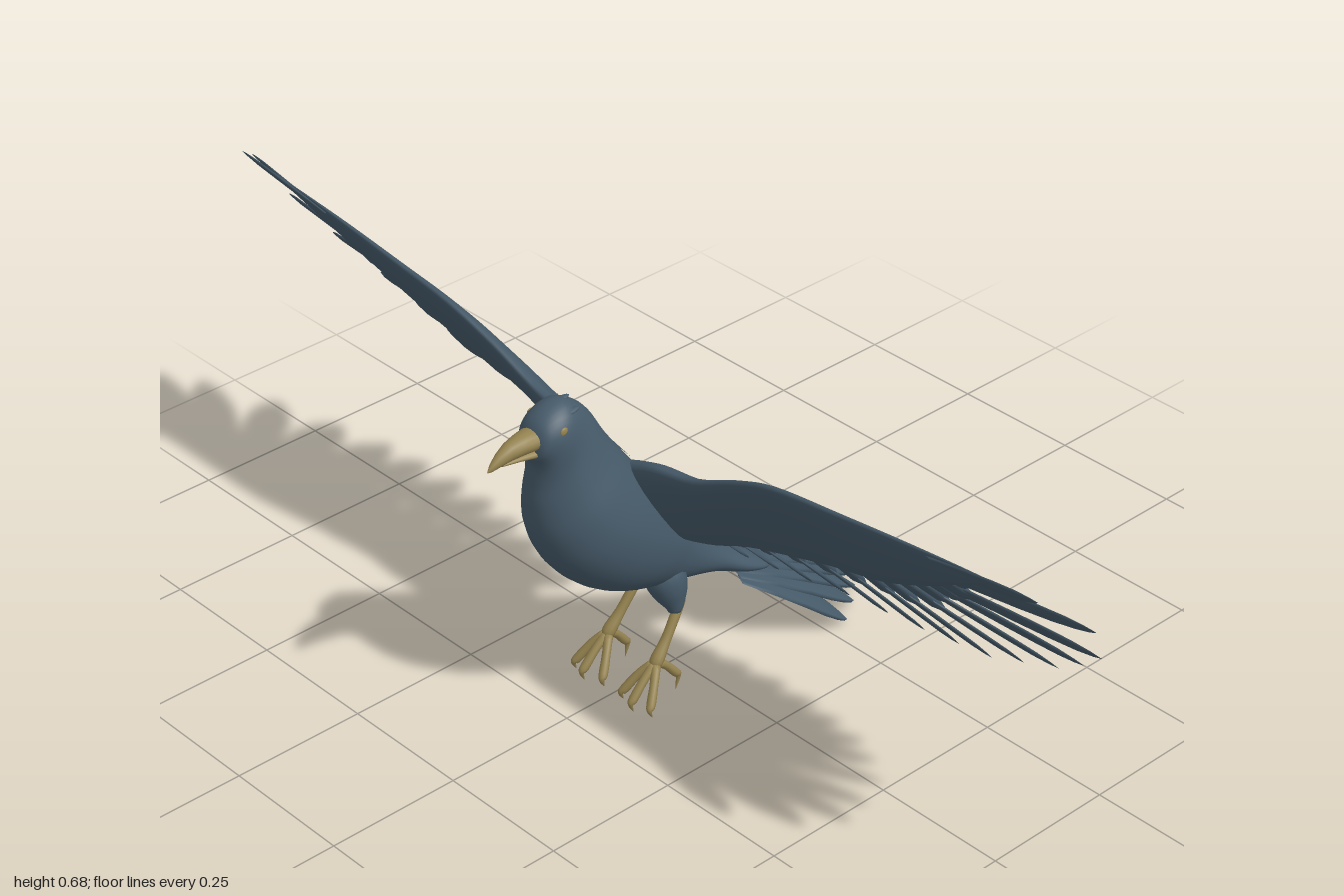
import * as THREE from 'three';

const V = (x, y, z) => new THREE.Vector3(x, y, z);
const X = V(1, 0, 0);
const plumage = new THREE.MeshStandardMaterial({ name: 'slate plumage', color: 0x465a69 });
const horn = new THREE.MeshStandardMaterial({ name: 'ochre horn', color: 0x94824f });

// Smooth curve through points, and a smooth row of single values
const smooth = pts => new THREE.CatmullRomCurve3(pts, false, 'catmullrom');
const scalar = values => smooth(values.map(r => V(r, 0, 0)));

// Elliptical cross-section; u x v points along the loft
function ring(c, u, v, n = 16) {
  return Array.from({ length: n }, (_, j) => {
    const a = (j / n) * Math.PI * 2;
    return c.clone().addScaledVector(u, Math.cos(a)).addScaledVector(v, Math.sin(a));
  });
}

// Skin over a row of rings
function loft(rings) {
  const n = rings[0].length, index = [];
  for (let i = 0; i < rings.length - 1; i++) {
    for (let j = 0; j < n; j++) {
      const a = i * n + j, b = i * n + ((j + 1) % n);
      index.push(a, b, a + n, b, b + n, a + n);
    }
  }
  const g = new THREE.BufferGeometry().setFromPoints(rings.flat());
  g.setIndex(index);
  g.computeVertexNormals();
  return g;
}

// Mirror a geometry to the other side, keeping its faces outward
function mirrored(g) {
  const m = g.clone().scale(-1, 1, 1), a = m.index.array;
  for (let i = 0; i < a.length; i += 3) [a[i], a[i + 1]] = [a[i + 1], a[i]];
  m.computeVertexNormals();
  return m;
}

function add(parent, name, geometry, material) {
  const mesh = new THREE.Mesh(geometry, material);
  mesh.name = name;
  parent.add(mesh);
  return mesh;
}

// Tapered round limb through points [x, y, z, radius]
function limb(pts, n = 10) {
  const curve = smooth(pts.map(p => V(p[0], p[1], p[2])));
  const radius = scalar(pts.map(p => p[3]));
  const rings = [];
  for (let i = 0; i <= 16; i++) {
    const t = i / 16, d = curve.getTangent(t);
    const u = X.clone().addScaledVector(d, -d.x).normalize();
    const v = d.clone().cross(u);
    const r = i === 16 || i === 0 ? 0.0002 : Math.max(radius.getPoint(t).x, 0.0004);
    rings.push(ring(curve.getPoint(t), u.multiplyScalar(r), v.multiplyScalar(r), n));
  }
  return loft(rings);
}

// Flat pointed blade, slightly bowed along its normal
function feather(base, tip, width, normal, thick = 0.004, tilt = 0.12, bow = 0) {
  const d = tip.clone().sub(base).normalize();
  const side = normal.clone().cross(d).normalize().addScaledVector(normal, tilt).normalize();
  const up = d.clone().cross(side);
  const profile = [[0, 0.01], [0.02, 0.55], [0.3, 0.88], [0.55, 1], [0.72, 0.94], [0.86, 0.68], [0.95, 0.36], [1, 0.02]];
  return loft(profile.map(([t, w]) => ring(
    base.clone().lerp(tip, t).addScaledVector(normal, bow * Math.sin(t * Math.PI)),
    side.clone().multiplyScalar(width * w), up.clone().multiplyScalar(thick * Math.min(1, w * 1.5)), 8)));
}

function buildBody(bird) {
  // back y, z; front y, z; half width
  const st = [
    [.588, .32, .582, .32, .002], [.618, .306, .555, .318, .03], [.636, .276, .542, .312, .042],
    [.637, .242, .525, .309, .048], [.605, .203, .495, .311, .053], [.55, .17, .455, .315, .068],
    [.50, .135, .40, .31, .087], [.445, .095, .338, .285, .099], [.39, .055, .283, .24, .098],
    [.335, .015, .24, .18, .086], [.288, -.022, .207, .1, .066], [.25, -.055, .186, .02, .052],
    [.207, -.098, .165, -.06, .046], [.17, -.15, .14, -.12, .052], [.143, -.19, .128, -.17, .045],
    [.127, -.205, .124, -.202, .003]];
  const back = smooth(st.map(s => V(0, s[0], s[1])));
  const front = smooth(st.map(s => V(0, s[2], s[3])));
  const width = scalar(st.map(s => s[4]));
  const rings = [];
  for (let i = 0; i <= 60; i++) {
    const t = i / 60, b = back.getPoint(t), f = front.getPoint(t);
    const w = Math.max(width.getPoint(t).x, 0.001);
    rings.push(ring(b.clone().add(f).multiplyScalar(0.5), V(w, 0, 0), f.sub(b).multiplyScalar(0.5), 32));
  }
  add(bird, 'body', loft(rings), plumage);

  // Small raised crown feathers
  for (const x of [-0.022, 0, 0.022]) {
    add(bird, 'crownFeather', feather(V(x, .63 - Math.abs(x) * .4, .285),
      V(x * 1.2, .637 - Math.abs(x) * .5, .232), .008, V(0, 1, 0), .003), plumage);
  }
}

function buildBeak(bird) {
  // z, centre y, half width, half height
  const jaw = rows => loft(rows.map(([z, y, w, h]) => ring(V(0, y, z), V(w, 0, 0), V(0, h, 0))));
  add(bird, 'upperBeak', jaw([[.295, .587, .024, .018], [.318, .588, .024, .018], [.34, .587, .02, .017],
    [.362, .584, .015, .0155], [.382, .577, .01, .012], [.397, .569, .005, .007], [.405, .564, .0005, .001]]), horn);
  add(bird, 'lowerBeak', jaw([[.295, .564, .021, .012], [.32, .566, .02, .009], [.35, .568, .014, .006],
    [.375, .568, .008, .004], [.39, .568, .0005, .001]]), horn);
  for (const s of [1, -1]) {
    const eye = add(bird, 'eye', new THREE.SphereGeometry(0.008, 16, 12), horn);
    eye.scale.x = 0.4;
    eye.position.set(s * 0.0405, 0.604, 0.278);
  }
}

function buildWing() {
  const parts = [];
  // x; leading edge y, z; covert edge y, z; half thickness
  const st = [[.03, .48, .14, .3, .03, .035], [.1, .508, .143, .3, .01, .03], [.19, .522, .138, .335, .005, .022],
    [.29, .573, .148, .365, .005, .018], [.39, .615, .16, .4, .015, .016], [.53, .633, .158, .455, .045, .013],
    [.67, .65, .157, .54, .09, .009], [.78, .665, .16, .62, .135, .004], [.86, .675, .163, .671, .16, .001]];
  const lead = smooth(st.map(s => V(s[0], s[1], s[2])));
  const edge = smooth(st.map(s => V(s[0], s[3], s[4])));
  const thick = scalar(st.map(s => s[5]));
  const rings = [];
  for (let i = 0; i <= 40; i++) {
    const t = i / 40, l = lead.getPoint(t), e = edge.getPoint(t);
    const u = l.clone().sub(e).multiplyScalar(0.5);
    const v = X.clone().cross(u).normalize().multiplyScalar(Math.max(thick.getPoint(t).x, .001));
    rings.push(ring(l.add(e).multiplyScalar(0.5), u, v, 20));
  }
  parts.push(['wingArm', loft(rings)]);

  // Point on the arm at a given x, f of the way from covert edge to leading edge
  const at = (x, f) => {
    let i = 0;
    while (i < st.length - 2 && st[i + 1][0] < x) i++;
    const a = st[i], b = st[i + 1], k = (x - a[0]) / (b[0] - a[0]);
    const m = j => a[j] + (b[j] - a[j]) * k;
    return V(x, m(3) + (m(1) - m(3)) * f, m(4) + (m(2) - m(4)) * f);
  };
  const normal = V(0, -.53, .85).normalize();
  // tip x, y, z; base x; base position across the arm
  const flight = [[.94, .682, .163, .64, .72], [1, .63, .1, .64, .55], [.97, .54, .045, .63, .4], [.9, .468, 0, .61, .35],
    [.81, .39, -.05, .575, .3], [.715, .335, -.08, .53, .3], [.63, .29, -.1, .48, .3], [.55, .27, -.11, .43, .3],
    [.47, .253, -.115, .37, .3], [.39, .246, -.113, .31, .3], [.31, .246, -.103, .25, .3], [.235, .242, -.09, .19, .3],
    [.17, .242, -.075, .14, .3], [.11, .246, -.06, .095, .3]];
  flight.forEach(([x, y, z, bx, f], i) => {
    const tip = V(x, y, z), base = at(bx, f), primary = i < 5;
    parts.push(['flightFeather', feather(base, tip, i ? (primary ? .037 : .042) : .028, normal, .003)]);
    // Shorter covert laid over each flight feather
    if (i > 0) parts.push(['covertFeather', feather(base.clone().lerp(at(bx, .75), .4),
      base.clone().lerp(tip, primary ? .36 : .48), .042, normal, .008, .08)]);
  });
  return parts;
}

function buildLeg() {
  const toe = (x, z, y) => {
    const way = Math.sign(z - .1);
    return limb([[.06, .077, .1, .009], [.06 + x * .5, (y + .085) / 2, (z + .1) / 2, .0075],
      [.06 + x * .9, y, z, .008], [.06 + x, y - .008, z + way * .007, .005], [.06 + x, .002, z + way * .001, .0005]]);
  };
  return [
    ['thigh', limb([[.026, .25, .06, .03], [.032, .22, .055, .037], [.04, .19, .05, .031], [.048, .165, .048, .018],
      [.052, .148, .05, .009]], 16), plumage],
    ['shank', limb([[.05, .18, .03, .009], [.053, .15, .048, .009], [.057, .11, .075, .009], [.06, .078, .1, .012],
      [.06, .066, .107, .004]]), horn],
    ['frontToe', toe(-.036, .142, .026), horn],
    ['frontToe', toe(.002, .154, .028), horn],
    ['frontToe', toe(.036, .142, .026), horn],
    ['hindToe', toe(.004, .06, .038), horn]];
}

function buildTail(bird) {
  const tail = new THREE.Group();
  tail.name = 'tail';
  for (let i = -4; i <= 4; i++) {
    const t = i / 4, a = Math.abs(t);
    const normal = V(t * .25, .85, -.53).normalize();
    add(tail, 'tailFeather', feather(V(.04 * t, .167 - .025 * a, -.115 + .005 * a),
      V(.122 * t, .014 - .008 * a, -.404 + .108 * t * t), .035, normal, .003, .1, .01), plumage);
  }
  bird.add(tail);
}

export function createModel() {
  const bird = new THREE.Group();
  bird.name = 'bird';
  buildBody(bird);
  buildBeak(bird);
  buildTail(bird);
  const wing = buildWing(), leg = buildLeg();
  for (const side of ['left', 'right']) {
    for (const [name, parts] of [['Wing', wing], ['Leg', leg]]) {
      const group = new THREE.Group();
      group.name = side + name;
      for (const [part, g, mat = plumage] of parts) add(group, part, side === 'left' ? g : mirrored(g), mat);
      bird.add(group);
    }
  }
  return bird;
}
